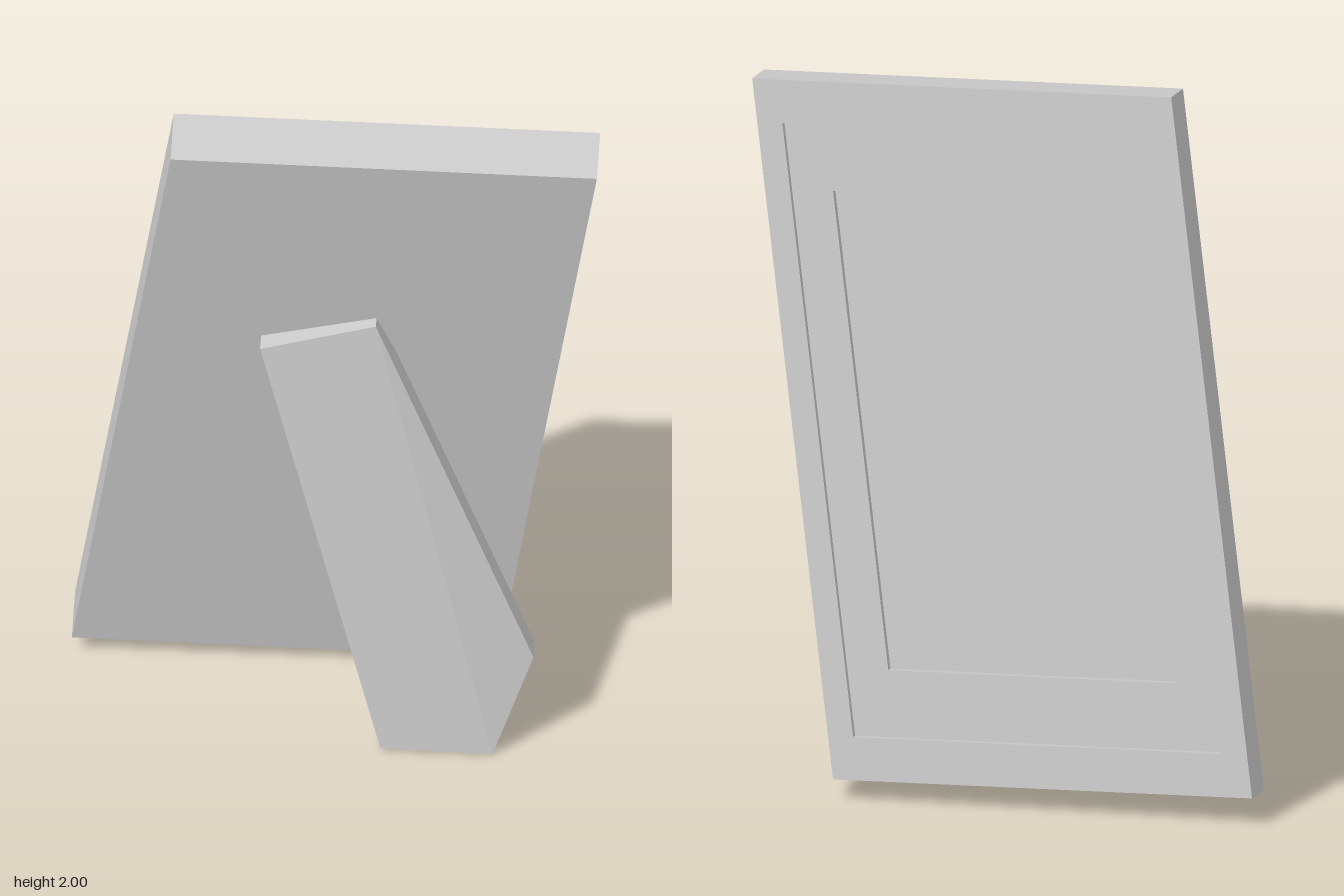
import * as THREE from 'three';

const material = new THREE.MeshStandardMaterial({ color: 0xcccccc, flatShading: true });

// Turns a list of triangles (three points each) into a flat-shaded mesh
function facetedMesh(name, points) {
  const geometry = new THREE.BufferGeometry().setFromPoints(points);
  geometry.computeVertexNormals();
  const mesh = new THREE.Mesh(geometry, material);
  mesh.name = name;
  return mesh;
}

// Joins two equal loops with a band of quads
function band(a, b) {
  return a.flatMap((p, i) => {
    const j = (i + 1) % a.length;
    return [p, b[i], b[j], p, b[j], a[j]];
  });
}

// Leaning, skewed axes of the picture frame: width, height, depth (back to front)
const lean = new THREE.Matrix4()
  .makeBasis(
    new THREE.Vector3(1.18, -0.02, 0),
    new THREE.Vector3(0.29, 1.92, 0.32),
    new THREE.Vector3(0, -0.03, 0.17)
  )
  .setPosition(-0.735, 0.08, -0.29);

// Rectangular loop in unit frame space, inset by u and v at depth d
function ring([u, v, d]) {
  return [[u, v], [1 - u, v], [1 - u, 1 - v], [u, 1 - v]]
    .map(([x, y]) => new THREE.Vector3(x, y, d).applyMatrix4(lean));
}

function loft(name, rows) {
  const rings = rows.map(ring);
  return facetedMesh(name, rings.slice(1).flatMap((r, i) => band(rings[i], r)));
}

function createStand() {
  // Five-sided outline, counter-clockwise from the bottom left
  const front = [
    [0.14, 0.01, 0.285], [0.45, 0, 0.285], [0.56, 0.285, 0.21],
    [0.12, 1.365, 0.14], [-0.2, 1.28, 0.147],
  ].map((p) => new THREE.Vector3(...p));
  const back = front.map((p) => p.clone().setZ(p.z - 0.07));
  const cap = [[0, 1, 3], [1, 2, 3], [0, 3, 4]];
  return facetedMesh('stand', [
    ...cap.flatMap((t) => t.map((i) => front[i])),
    ...cap.flatMap(([a, b, c]) => [back[a], back[c], back[b]]),
    ...band(front, back),
  ]);
}

export function createModel() {
  const group = new THREE.Group();
  group.name = 'pictureFrame';
  const outer = [0.06, 0.062], inner = [0.158, 0.158];
  const step = 0.16, floor = 0.34;

  // Closed panel on the stand side, the edges, the rim and its inner wall
  group.add(loft('frame', [
    [0.5, 0.5, 1], [0, 0, 1], [0, 0, 0], [...outer, 0], [...outer, step],
  ]));
  // Recessed border with its inner wall
  group.add(loft('border', [[...outer, step], [...inner, step], [...inner, floor]]));
  // Picture surface at the bottom of the recess
  group.add(loft('picture', [[...inner, floor], [0.5, 0.5, floor]]));
  // Prop leg
  group.add(createStand());
  return group;
}
